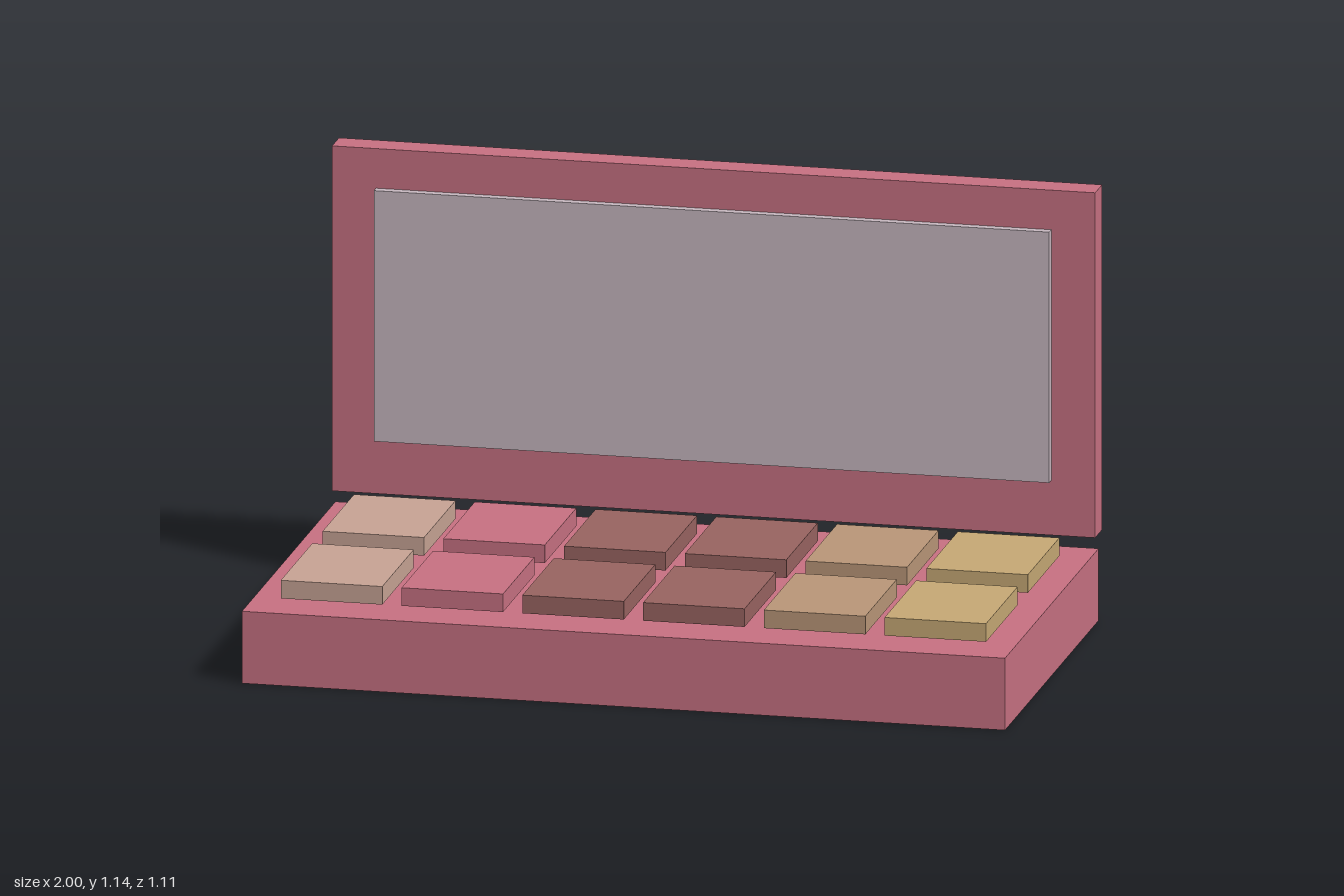
import * as THREE from 'three';

const material = (name, color) => {
  const m = new THREE.MeshStandardMaterial({ color });
  m.name = name;
  return m;
};

export function createModel() {
  const group = new THREE.Group();
  group.name = 'makeupPalette';

  const rose = material('rose', 0xc97283);
  const silver = material('silver', 0xc8b9c1);
  const blush = material('blush', 0xc9a596);
  const brown = material('brown', 0x9a6562);
  const tan = material('tan', 0xbb9879);
  const gold = material('gold', 0xc8aa76);

  // Box given by its [min, max] extent on each axis
  const slab = (name, mat, [x0, x1], [y0, y1], [z0, z1]) => {
    const mesh = new THREE.Mesh(new THREE.BoxGeometry(x1 - x0, y1 - y0, z1 - z0), mat);
    mesh.position.set((x0 + x1) / 2, (y0 + y1) / 2, (z0 + z1) / 2);
    mesh.name = name;
    group.add(mesh);
  };

  // Case, upright lid and mirror
  slab('base', rose, [-1, 1], [0, 0.191], [-0.515, 0.555]);
  slab('lid', rose, [-1, 1], [0.23, 1.145], [-0.555, -0.476]);
  slab('mirror', silver, [-0.885, 0.885], [0.375, 1.04], [-0.476, -0.452]);

  // Two rows of six powder pans
  const shades = [blush, rose, brown, brown, tan, gold];
  const rows = [[-0.4, -0.04], [0.078, 0.438]];
  rows.forEach((depth, row) => shades.forEach((shade, i) => {
    const x = -0.792 + i * 0.3165;
    slab(`pan${row + 1}_${i + 1}`, shade, [x - 0.133, x + 0.133], [0.198, 0.246], depth);
  }));

  return group;
}
